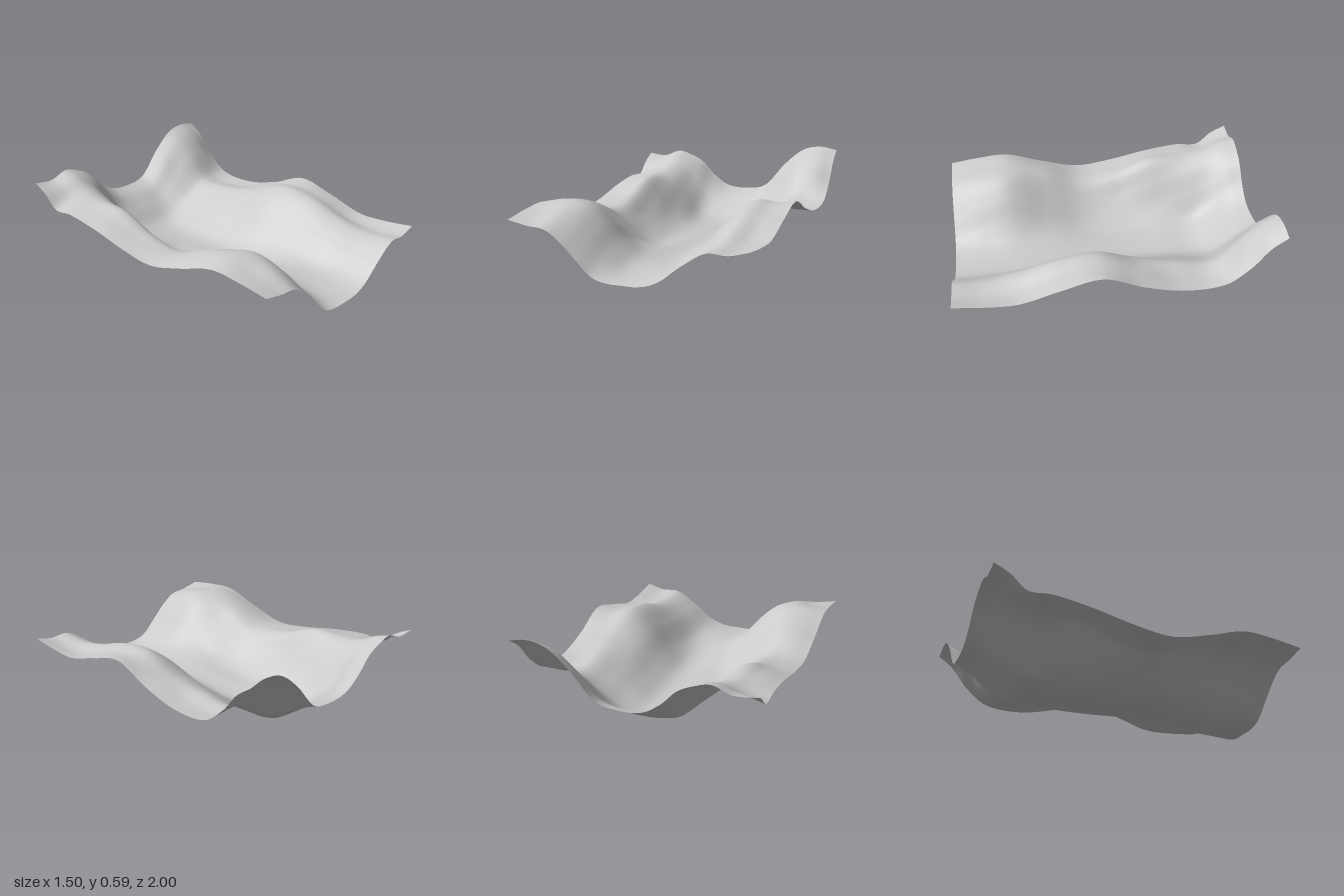
import * as THREE from 'three';

// Stations across the sheet (x) and cross-sections of heights from front to back
const xs = [-0.75, -0.62, -0.5, -0.4, -0.3, -0.2, -0.08, 0.1, 0.22, 0.36, 0.5, 0.63, 0.75];
const sections = [
  { z: 1, h: [0.32, 0.295, 0.28, 0.215, 0.12, 0.03, 0, 0.004, 0.045, 0.15, 0.235, 0.235, 0.265] },
  { z: 0.8, h: [0.35, 0.345, 0.355, 0.315, 0.225, 0.115, 0.035, 0.025, 0.052, 0.155, 0.23, 0.222, 0.245] },
  { z: 0.6, h: [0.36, 0.385, 0.385, 0.355, 0.27, 0.155, 0.065, 0.037, 0.06, 0.185, 0.27, 0.24, 0.245] },
  { z: 0.35, h: [0.285, 0.325, 0.325, 0.255, 0.175, 0.095, 0.055, 0.038, 0.095, 0.24, 0.35, 0.33, 0.32] },
  { z: 0.1, h: [0.225, 0.245, 0.235, 0.165, 0.085, 0.035, 0.028, 0.032, 0.12, 0.28, 0.375, 0.365, 0.38] },
  { z: -0.15, h: [0.255, 0.27, 0.275, 0.17, 0.085, 0.03, 0.018, 0.02, 0.09, 0.215, 0.285, 0.295, 0.29] },
  { z: -0.4, h: [0.31, 0.345, 0.37, 0.26, 0.13, 0.055, 0.025, 0.02, 0.08, 0.175, 0.25, 0.232, 0.235] },
  { z: -0.65, h: [0.345, 0.37, 0.385, 0.335, 0.215, 0.09, 0.05, 0.04, 0.075, 0.165, 0.25, 0.25, 0.255] },
  { z: -0.8, h: [0.34, 0.385, 0.425, 0.39, 0.29, 0.18, 0.145, 0.14, 0.16, 0.28, 0.405, 0.42, 0.37] },
  { z: -1, h: [0.475, 0.465, 0.505, 0.48, 0.43, 0.33, 0.257, 0.247, 0.285, 0.445, 0.56, 0.59, 0.57] },
];

// The rise at the back levels off towards its edge: add a blended section there
const [rise, back] = sections.slice(-2);
sections.splice(-1, 0, { z: -0.9, h: rise.h.map((y, i) => THREE.MathUtils.lerp(y, back.h[i], 0.62)) });

// Smooth cubic through unevenly spaced samples (keys ascending)
function smooth(keys, values, t) {
  const last = keys.length - 1;
  let i = 0;
  while (i < last - 1 && t > keys[i + 1]) i++;
  const slope = (k) => {
    const a = Math.max(k - 1, 0), b = Math.min(k + 1, last);
    return (values[b] - values[a]) / (keys[b] - keys[a]);
  };
  const d = keys[i + 1] - keys[i];
  const u = THREE.MathUtils.clamp((t - keys[i]) / d, 0, 1);
  const u2 = u * u, u3 = u2 * u;
  return (2 * u3 - 3 * u2 + 1) * values[i] + (u3 - 2 * u2 + u) * d * slope(i)
    + (3 * u2 - 2 * u3) * values[i + 1] + (u3 - u2) * d * slope(i + 1);
}

export function createModel() {
  const group = new THREE.Group();
  group.name = 'valleyTerrain';

  // Flat grid lifted to the interpolated heights
  const geometry = new THREE.PlaneGeometry(1.5, 2, 90, 120);
  geometry.rotateX(-Math.PI / 2);
  const depths = sections.map((s) => -s.z);
  const position = geometry.attributes.position;
  for (let i = 0; i < position.count; i++) {
    const x = position.getX(i);
    const column = sections.map((s) => smooth(xs, s.h, x));
    position.setY(i, Math.max(0, smooth(depths, column, -position.getZ(i))));
  }
  geometry.computeVertexNormals();

  const material = new THREE.MeshStandardMaterial({ color: 0xcccccc, side: THREE.DoubleSide });
  const terrain = new THREE.Mesh(geometry, material);
  terrain.name = 'terrainSurface';
  group.add(terrain);
  return group;
}
